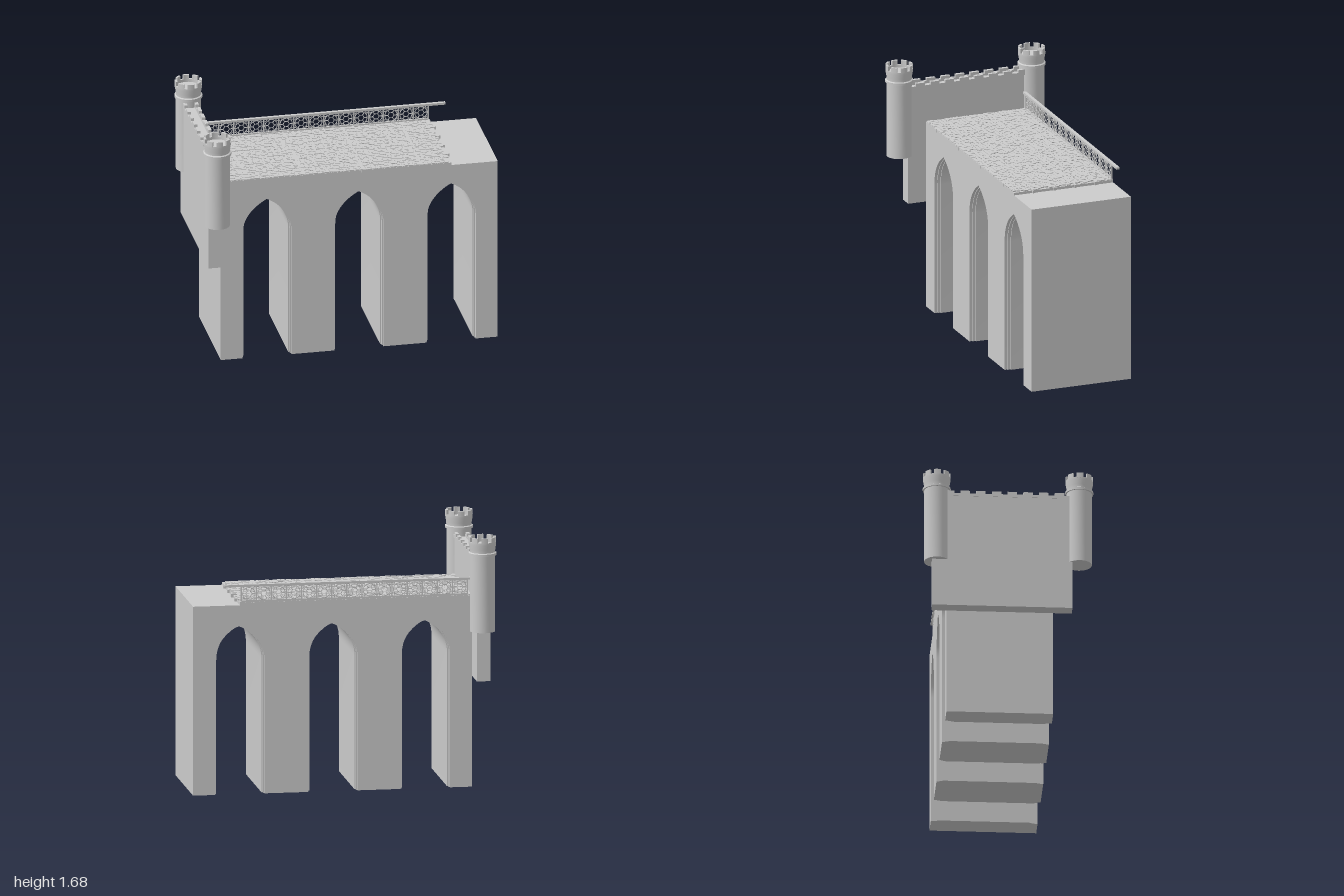
import * as THREE from 'three';
import { mergeGeometries, toCreasedNormals } from 'three/addons/utils/BufferGeometryUtils.js';

const stone = new THREE.MeshStandardMaterial({ color: 0xcccccc });

function part(name, geometries) {
  const list = [].concat(geometries).map(g => (g.index ? g.toNonIndexed() : g));
  const mesh = new THREE.Mesh(list.length > 1 ? mergeGeometries(list) : list[0], stone);
  mesh.name = name;
  return mesh;
}

// box given by its extents
function box(x0, x1, y0, y1, z0, z1) {
  return new THREE.BoxGeometry(x1 - x0, y1 - y0, z1 - z0)
    .translate((x0 + x1) / 2, (y0 + y1) / 2, (z0 + z1) / 2);
}

// slice of the bridge with three pointed openings of half width h
function archSlice(h, apex, z0, z1) {
  const s = new THREE.Shape();
  s.moveTo(-0.85, 0);
  for (const c of [-0.541, 0.073, 0.69]) {
    s.lineTo(c - h, 0);
    s.lineTo(c - h, 0.89);
    s.bezierCurveTo(c - h, 1.01, c - h * 0.5, 1.085, c, apex);
    s.bezierCurveTo(c + h * 0.5, 1.085, c + h, 1.01, c + h, 0.89);
    s.lineTo(c + h, 0);
  }
  s.lineTo(1, 0);
  s.lineTo(1, 1.26);
  s.lineTo(-0.85, 1.26);
  const g = new THREE.ExtrudeGeometry(s, { depth: z1 - z0, bevelEnabled: false, curveSegments: 14 });
  return toCreasedNormals(g.translate(0, 0, z0), 0.5);
}

// round turret with a ring moulding and crenellated crown
function makeTower(name, z) {
  const tower = new THREE.Group();
  tower.name = name;
  const profile = [
    [0, 1.05], [0.083, 1.05], [0.083, 1.56], [0.092, 1.56], [0.092, 1.575], [0.083, 1.58],
    [0.084, 1.6], [0.09, 1.632], [0.09, 1.65], [0.076, 1.65], [0.076, 1.63], [0, 1.63],
  ].map(p => new THREE.Vector2(...p));
  tower.add(part('towerShaft', toCreasedNormals(new THREE.LatheGeometry(profile, 28), 0.5)));

  const merlons = [];
  for (let i = 0; i < 8; i++) {
    const a = (i / 8) * Math.PI * 2, w = 0.25;
    const s = new THREE.Shape();
    s.absarc(0, 0, 0.09, a - w, a + w, false);
    s.absarc(0, 0, 0.076, a + w, a - w, true);
    const g = new THREE.ExtrudeGeometry(s, { depth: 0.035, bevelEnabled: false, curveSegments: 4 });
    merlons.push(g.rotateX(-Math.PI / 2).translate(0, 1.645, 0));
  }
  tower.add(part('towerMerlons', merlons));
  tower.position.set(-0.908, 0, z);
  return tower;
}

// end wall with a narrow walkway between two low parapets
function makeWall() {
  const wall = new THREE.Group();
  wall.name = 'gateWall';
  wall.add(part('wallSlab', box(-0.955, -0.866, 0.72, 1.512, -0.5, 0.42)));
  const parapets = [], merlons = [];
  for (const x of [-0.946, -0.871]) {
    parapets.push(box(x - 0.011, x + 0.011, 1.508, 1.527, -0.4, 0.4));
    for (let i = 0; i < 8; i++) {
      const z = 0.335 - i * 0.103;
      merlons.push(box(x - 0.011, x + 0.011, 1.525, 1.546, z - 0.031, z + 0.031));
    }
  }
  wall.add(part('wallParapets', parapets), part('wallMerlons', merlons));
  return wall;
}

// paved deck: slab, edging strips and rows of uneven setts
function makeDeck() {
  const deck = new THREE.Group();
  deck.name = 'deck';
  deck.add(part('deckSlab', box(-0.85, 0.69, 1.255, 1.277, -0.4, 0.3)));

  const strips = [];
  for (const z of [-0.275, -0.13, 0.018, 0.163]) strips.push(box(-0.85, 0.705, 1.262, 1.283, z - 0.008, z + 0.008));
  for (const x of [-0.683, -0.29, 0.1, 0.492]) strips.push(box(x - 0.012, x + 0.012, 1.262, 1.283, -0.4, 0.304));
  deck.add(part('deckStrips', strips));

  let seed = 7;
  const rand = () => (seed = (seed * 16807) % 2147483647) / 2147483647;
  const setts = [];
  const rows = 28, pitch = 0.7 / rows;
  for (let r = 0; r < rows; r++) {
    const z = -0.4 + r * pitch;
    for (let x = -0.85; x < 0.665;) {
      const end = Math.min(x + 0.025 + rand() * 0.025, 0.69);
      setts.push(box(x + 0.0015, end - 0.0015, 1.27, 1.281 + rand() * 0.005, z + 0.0015, z + pitch - 0.0015));
      x = end;
    }
  }
  deck.add(part('pavingSetts', setts));
  return deck;
}

// openwork balustrade along the back edge
function makeRailing() {
  const railing = new THREE.Group();
  railing.name = 'railing';
  const z = -0.393, y0 = 1.285, y1 = 1.385, n = 15, w = 0.1;
  railing.add(part('handrail', box(-0.85, 0.792, 1.382, 1.397, -0.405, -0.383)));

  const frame = [box(-0.82, 0.68, y0 - 0.005, y0 + 0.007, z - 0.006, z + 0.006)];
  for (let i = 0; i <= n; i++) {
    const x = -0.82 + i * w;
    frame.push(box(x - 0.004, x + 0.004, y0, y1, z - 0.005, z + 0.005));
  }
  railing.add(part('railingPosts', frame));

  // one rosette: hexagonal ring, spokes, outer ring and corner rings
  const cy = (y0 + y1) / 2, tracery = [];
  const ring = (x, y, r, sides) => tracery.push(
    new THREE.TorusGeometry(r, 0.003, 4, sides).translate(x, y, z));
  for (let i = 0; i < n; i++) {
    const cx = -0.82 + (i + 0.5) * w;
    ring(cx, cy, 0.021, 6);
    ring(cx, cy, 0.042, 12);
    for (let k = 0; k < 6; k++) {
      const a = (k / 6) * Math.PI * 2;
      tracery.push(new THREE.BoxGeometry(0.022, 0.005, 0.005)
        .translate(0.0315, 0, 0).rotateZ(a).translate(cx, cy, z));
    }
    for (const sx of [-1, 1]) for (const sy of [-1, 1]) ring(cx + sx * 0.04, cy + sy * 0.038, 0.009, 6);
  }
  railing.add(part('railingTracery', tracery));
  return railing;
}

export function createModel() {
  const model = new THREE.Group();
  model.name = 'viaduct';

  // arcade with stepped mouldings on both faces
  const arcade = new THREE.Group();
  arcade.name = 'arcade';
  arcade.add(
    part('arcadeCore', archSlice(0.15, 1.112, -0.36, 0.26)),
    part('frontInnerMoulding', archSlice(0.157, 1.121, 0.26, 0.28)),
    part('frontOuterMoulding', archSlice(0.164, 1.13, 0.28, 0.3)),
    part('backInnerMoulding', archSlice(0.157, 1.121, -0.38, -0.36)),
    part('backOuterMoulding', archSlice(0.164, 1.13, -0.4, -0.38)),
  );

  model.add(arcade, makeDeck(), makeRailing(), makeWall());
  model.add(makeTower('frontTower', 0.467), makeTower('backTower', -0.467));
  return model;
}
